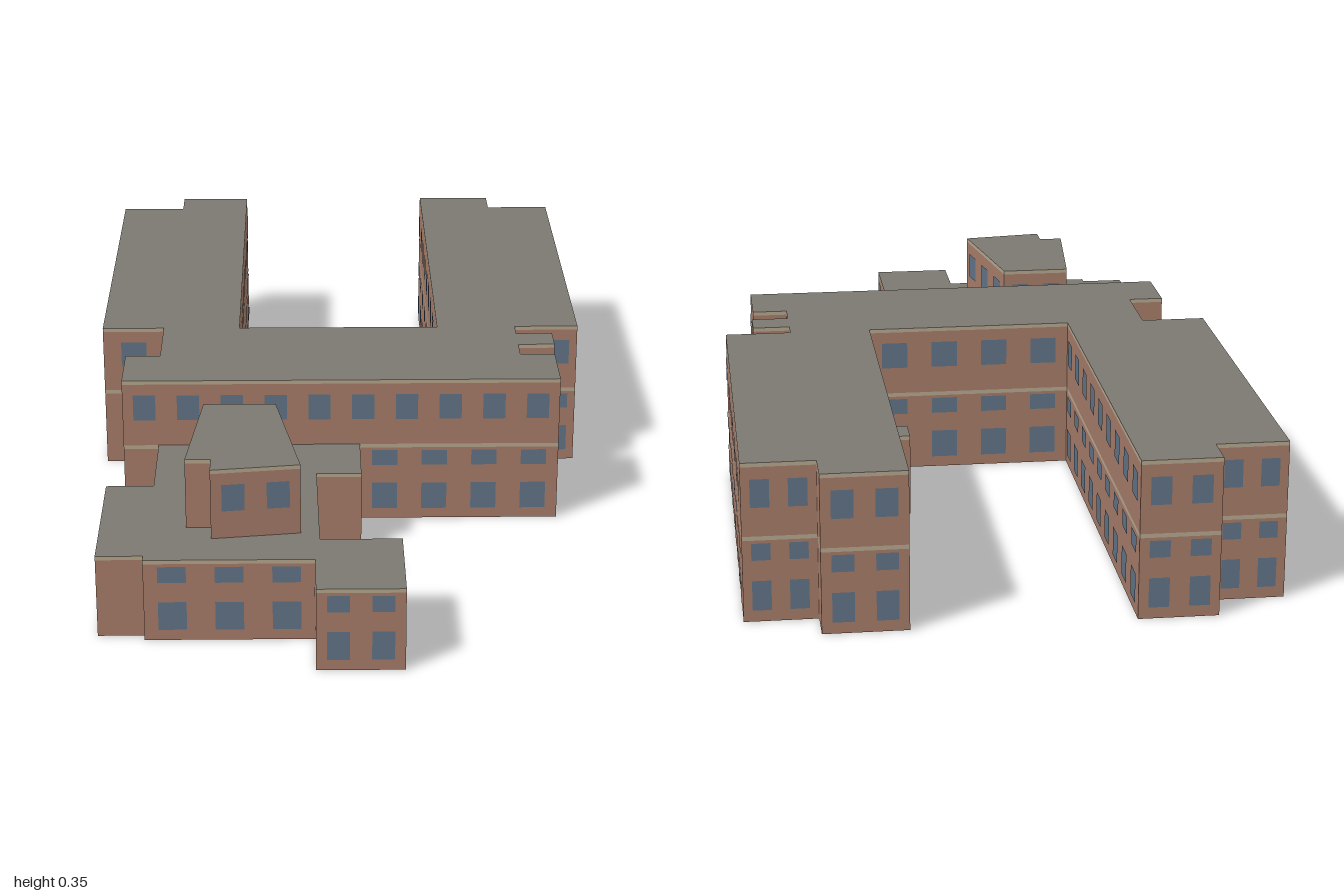
import * as THREE from 'three';
import { mergeGeometries } from 'three/addons/utils/BufferGeometryUtils.js';

const material = (name, color, side = THREE.FrontSide) => {
  const m = new THREE.MeshStandardMaterial({ color, side });
  m.name = name;
  return m;
};

// Footprints as [x, z] corners, starting at the back and running clockwise from above
const westWing = [[-0.41, -1], [-0.24, -1], [-0.24, -0.045], [0.23, -0.045]];
const courtyardStub = [[0.23, -0.28], [0.165, -0.28], [0.165, -0.35], [0.23, -0.35]];
const eastWing = [
  [0.23, -1], [0.41, -1], [0.41, -0.92], [0.565, -0.92], [0.565, -0.045], [0.415, -0.045],
  [0.415, 0], [0.5, 0], [0.5, 0.07], [0.415, 0.07], [0.415, 0.13], [0.495, 0.13], [0.495, 0.28],
];
const frontAnnex = [
  [0.04, 0.28], [0.04, 0.44], [-0.06, 0.44], [-0.055, 0.77], [0.12, 0.77], [0.12, 1], [-0.065, 1],
  [-0.065, 0.865], [-0.425, 0.865], [-0.425, 0.845], [-0.525, 0.845], [-0.525, 0.5], [-0.42, 0.5], [-0.42, 0.28],
];
const westSide = [
  [-0.5, 0.28], [-0.5, 0.13], [-0.42, 0.13], [-0.42, -0.045], [-0.565, -0.045], [-0.565, -0.92], [-0.41, -0.92],
];
const penthouse = [[-0.31, 0.415], [-0.15, 0.415], [-0.095, 0.74], [-0.285, 0.765], [-0.285, 0.71], [-0.34, 0.71]];

const FLOOR = 0.187, TOP = 0.346, TRIM = 0.009;
const lowRows = [[0.025, 0.09], [0.135, 0.172]];
const highRows = [[0.25, 0.311]];

// Number of windows that fit on a wall of a given length
function windowCount(length) {
  if (length < 0.12) return 0;
  if (length < 0.148) return 1;
  return Math.max(2, Math.floor(length / 0.098));
}

// One storey: open-bottomed walls with a trim band, window panes and a flat roof
function storey(name, outline, base, top, rows, mats) {
  const walls = [], trims = [], panes = [];
  outline.forEach(([x0, z0], i) => {
    const [x1, z1] = outline[(i + 1) % outline.length];
    const dx = x1 - x0, dz = z1 - z0, length = Math.hypot(dx, dz);
    const nx = dz / length, nz = -dx / length;
    // Upright panel centred at fraction t of this wall
    const panel = (t, width, y0, y1, out) =>
      new THREE.PlaneGeometry(width, y1 - y0)
        .rotateY(Math.atan2(nx, nz))
        .translate(x0 + dx * t + nx * out, (y0 + y1) / 2, z0 + dz * t + nz * out);
    walls.push(panel(0.5, length, base, top - TRIM, 0));
    trims.push(panel(0.5, length, top - TRIM, top, 0));
    const n = windowCount(length);
    const width = Math.min(0.06, (0.51 * length) / n);
    for (let k = 0; k < n; k++) {
      for (const [y0, y1] of rows) panes.push(panel((k + 0.5) / n, width, y0, y1, 0.002));
    }
  });
  const shape = new THREE.Shape(outline.map(([x, z]) => new THREE.Vector2(x, -z)));
  const roof = new THREE.ShapeGeometry(shape).rotateX(-Math.PI / 2).translate(0, top, 0);

  const group = new THREE.Group();
  group.name = name;
  const add = (part, geometry, mat) => {
    const mesh = new THREE.Mesh(geometry, mat);
    mesh.name = part;
    group.add(mesh);
  };
  add('walls', mergeGeometries(walls), mats.brick);
  add('trim', mergeGeometries(trims), mats.trim);
  add('windows', mergeGeometries(panes), mats.glass);
  add('roof', roof, mats.roof);
  return group;
}

export function createModel() {
  const mats = {
    brick: material('brick', 0xa37a67, THREE.DoubleSide),
    trim: material('stone trim', 0xb3a48c, THREE.DoubleSide),
    glass: material('window glass', 0x5f7185),
    roof: material('roof grey', 0x7b7970, THREE.DoubleSide),
  };
  const lower = [...westWing, ...courtyardStub, ...eastWing, ...frontAnnex, ...westSide];
  const upper = [...westWing, ...eastWing, ...westSide];

  const model = new THREE.Group();
  model.name = 'building';
  model.add(
    storey('lowerStorey', lower, 0, FLOOR, lowRows, mats),
    storey('upperStorey', upper, FLOOR, TOP, highRows, mats),
    storey('penthouse', penthouse, FLOOR, TOP, highRows, mats),
  );
  return model;
}
